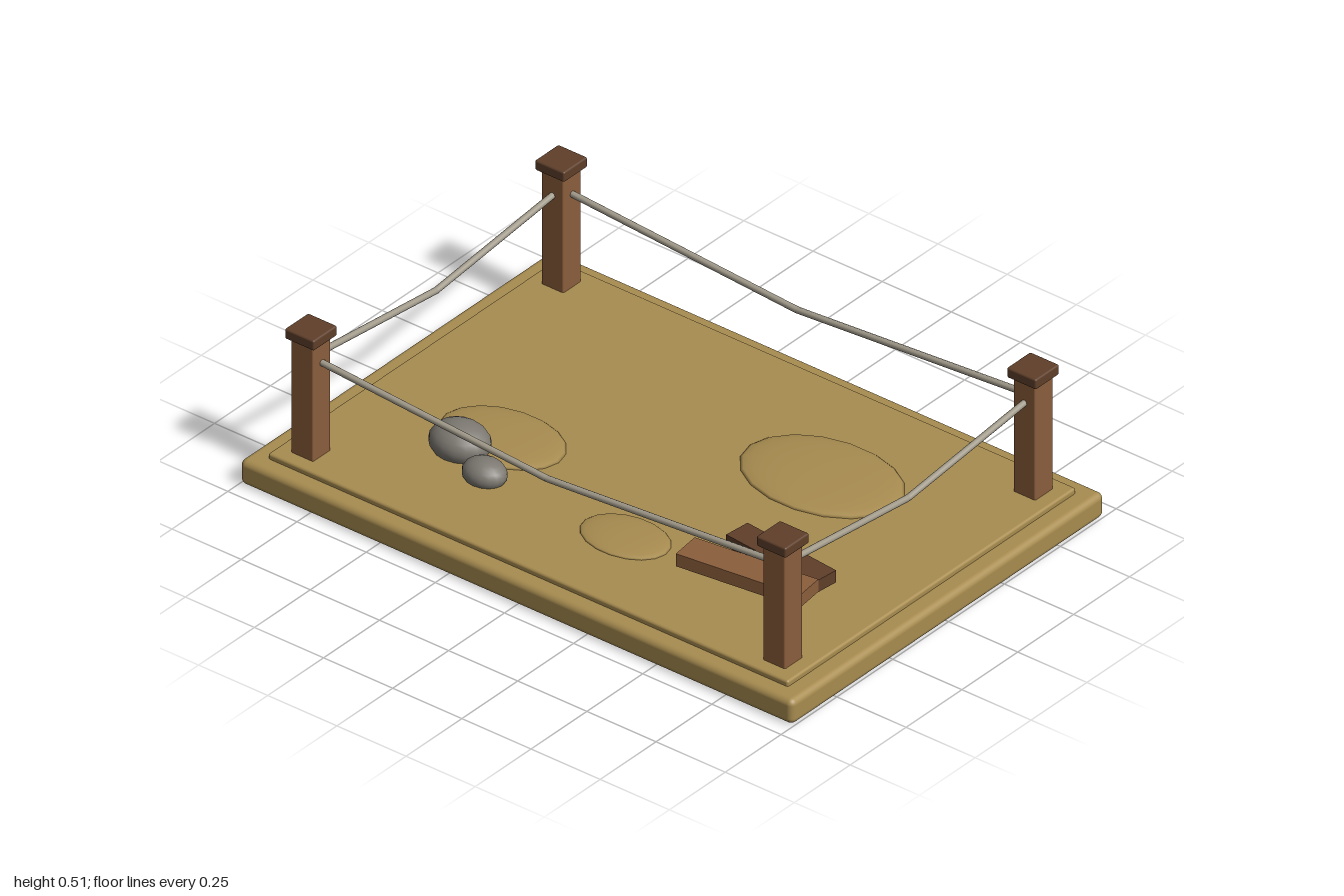
import * as THREE from 'three';
import { RoundedBoxGeometry } from 'three/addons/geometries/RoundedBoxGeometry.js';

const material = (name, color) => {
  const m = new THREE.MeshStandardMaterial({ color });
  m.name = name;
  return m;
};

export function createModel() {
  const model = new THREE.Group();
  model.name = 'ropedSandPen';

  const sand = material('sand', 0xa88c50);
  const wood = material('wood', 0x8b5e3c);
  const darkWood = material('dark wood', 0x5f3f2a);
  const rope = material('rope', 0xa39c8c);
  const stone = material('stone', 0x7d7972);

  const add = (name, geometry, mat, x, y, z, parent = model) => {
    const mesh = new THREE.Mesh(geometry, mat);
    mesh.name = name;
    mesh.position.set(x, y, z);
    parent.add(mesh);
    return mesh;
  };
  const block = (w, h, d, r) => new RoundedBoxGeometry(w, h, d, 3, r);

  // Ground: rounded base with a slightly smaller raised bed
  add('base', block(2, 0.082, 1.4, 0.02), sand, 0, 0.041, 0);
  add('raisedBed', block(1.88, 0.06, 1.29, 0.008), sand, 0, 0.07, 0);

  // Low mounds: x, z, half width, half depth, height
  const dome = new THREE.SphereGeometry(1, 18, 6, 0, Math.PI * 2, 0, Math.PI / 2);
  for (const [x, z, rx, rz, h] of [
    [0.35, -0.24, 0.262, 0.185, 0.021],
    [-0.475, 0.17, 0.203, 0.142, 0.017],
    [0.115, 0.35, 0.145, 0.102, 0.014],
  ]) add('mound', dome, sand, x, 0.1, z).scale.set(rx, h, rz);

  // Corner posts with caps
  const PX = 0.853, PZ = 0.56;
  const postGeo = block(0.08, 0.4, 0.08, 0.005);
  const capGeo = block(0.106, 0.034, 0.106, 0.006);
  for (const sx of [-1, 1]) for (const sz of [-1, 1]) {
    const post = new THREE.Group();
    post.name = 'cornerPost';
    post.position.set(sx * PX, 0, sz * PZ);
    add('post', postGeo, wood, 0, 0.285, 0, post);
    add('postCap', capGeo, darkWood, 0, 0.498, 0, post);
    model.add(post);
  }

  // Sagging ropes, two straight halves per side
  const up = new THREE.Vector3(0, 1, 0);
  const ropeHalf = (name, from, to) => {
    const span = to.clone().sub(from);
    const mid = from.clone().add(to).multiplyScalar(0.5);
    const mesh = add(name, new THREE.CylinderGeometry(0.01, 0.01, span.length(), 8), rope, mid.x, mid.y, mid.z);
    mesh.quaternion.setFromUnitVectors(up, span.normalize());
  };
  for (const a of [-1, 1]) for (const b of [-1, 1]) {
    const corner = new THREE.Vector3(a * PX, 0.415, b * PZ);
    ropeHalf('longRope', corner, new THREE.Vector3(0, 0.355, b * PZ));
    ropeHalf('shortRope', corner, new THREE.Vector3(a * PX, 0.355, 0));
  }

  // Two rocks
  const ball = new THREE.SphereGeometry(1, 16, 12);
  add('largeRock', ball, stone, -0.532, 0.128, 0.29).scale.set(0.096, 0.062, 0.08);
  add('smallRock', ball, stone, -0.385, 0.118, 0.362).scale.set(0.07, 0.045, 0.058);

  // Loose planks
  add('lightPlank', new THREE.BoxGeometry(0.41, 0.042, 0.1), wood, 0.53, 0.134, 0.32).rotation.y = 0.122;
  add('darkPlank', new THREE.BoxGeometry(0.35, 0.04, 0.086), darkWood, 0.556, 0.132, 0.2).rotation.y = -0.1;

  return model;
}
